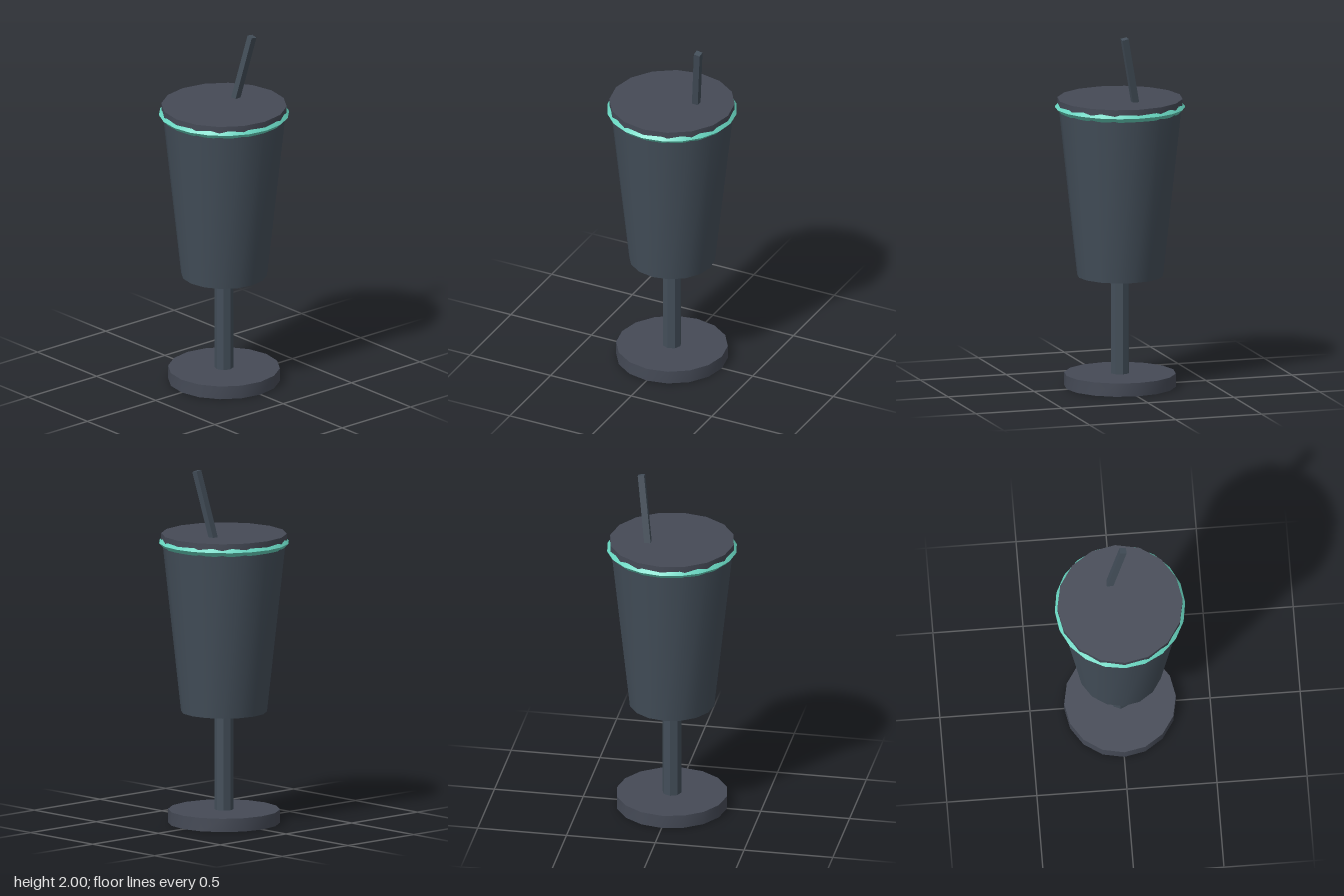
import * as THREE from 'three';
import { toCreasedNormals } from 'three/addons/utils/BufferGeometryUtils.js';

const CREASE = 0.7; // smooth round walls, sharp rims and stem facets

function material(name, color) {
  const m = new THREE.MeshStandardMaterial({ color });
  m.name = name;
  return m;
}

export function createModel() {
  const group = new THREE.Group();
  group.name = 'cupOnStand';

  const slate = material('slate', 0x434e59);
  const charcoal = material('charcoal', 0x454a56);
  const teal = material('teal', 0x66d3be);

  const add = (name, geometry, mat) => {
    const mesh = new THREE.Mesh(toCreasedNormals(geometry, CREASE), mat);
    mesh.name = name;
    group.add(mesh);
    return mesh;
  };

  // Upright cylinder or cone between two heights
  const round = (name, rTop, rBottom, y0, y1, sides, mat) => {
    const g = new THREE.CylinderGeometry(rTop, rBottom, y1 - y0, sides);
    g.translate(0, (y0 + y1) / 2, 0);
    return add(name, g, mat);
  };

  // Stand
  round('base', 0.31, 0.31, 0, 0.075, 16, charcoal);
  round('stem', 0.053, 0.053, 0.07, 0.64, 8, slate);

  // Tapered cup and its lid
  round('cup', 0.344, 0.238, 0.625, 1.6, 16, slate);
  round('lid', 0.348, 0.348, 1.58, 1.625, 16, charcoal);

  // Diamond-section ring around the rim
  const ring = new THREE.TorusGeometry(0.337, 0.025, 4, 20);
  ring.rotateX(-Math.PI / 2);
  ring.translate(0, 1.577, 0);
  add('rimRing', ring, teal);

  // Leaning square straw, hung from its top end
  const length = 0.46;
  const strawGeometry = new THREE.BoxGeometry(0.036, length, 0.036);
  strawGeometry.translate(0, -length / 2, 0);
  const straw = add('straw', strawGeometry, slate);
  straw.position.set(0.178, 1.994, 0.031);
  straw.rotation.set(0.207, 0, -0.135);

  return group;
}
